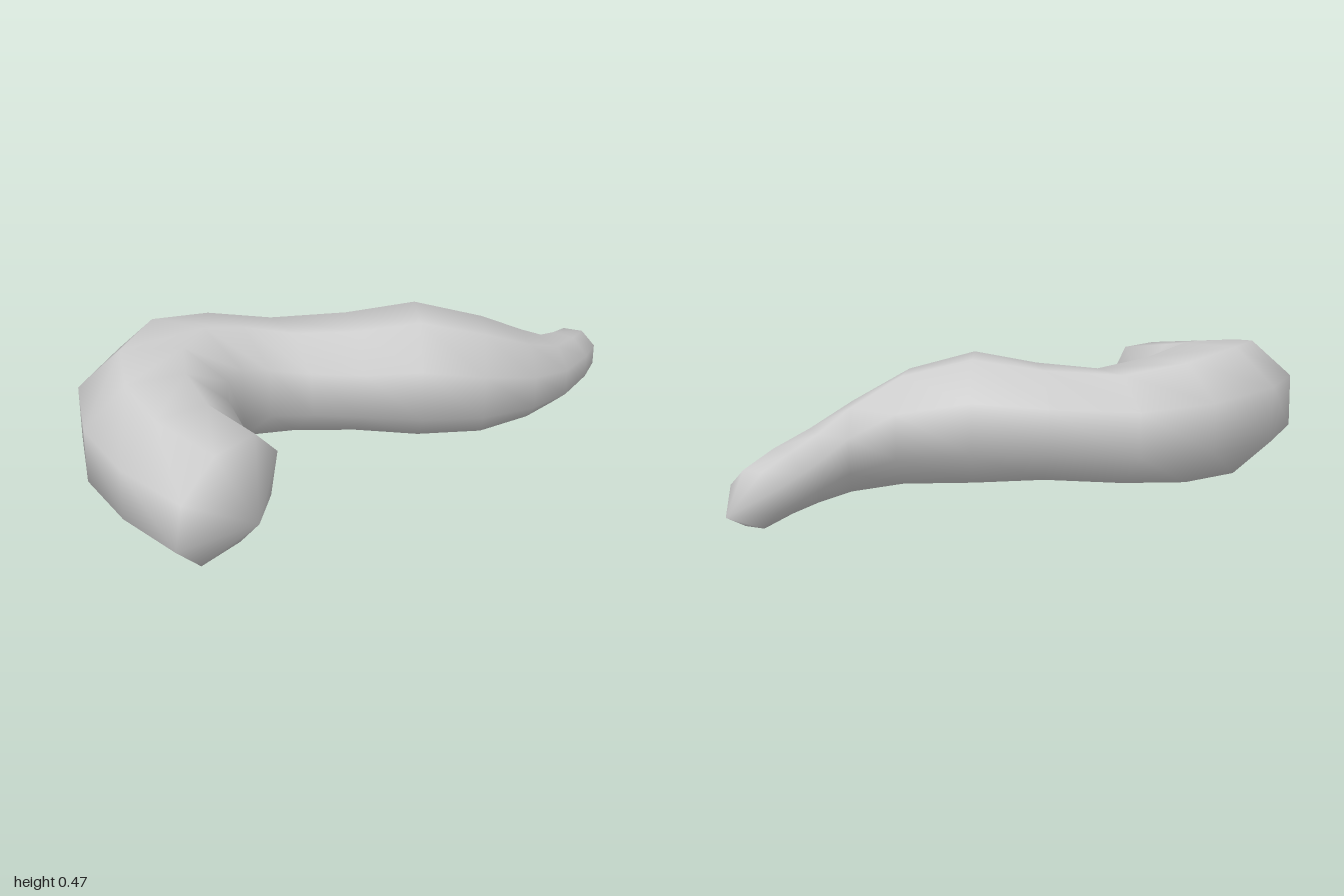
import * as THREE from 'three';

const SIDES = 8;

// Cross-sections from blunt end to tip:
// [outer x, outer z, inner x, inner z, bottom y, top y, lean of the top along x]
const SECTIONS = [
  [-0.08, 1.0, 0.03, 0.6, 0, 0.38, 0.03],
  [-0.31, 0.92, -0.1, 0.54, 0.01, 0.41, 0],
  [-0.51, 0.79, -0.2, 0.44, 0.02, 0.44, 0],
  [-0.66, 0.58, -0.24, 0.36, 0.04, 0.465, 0],
  [-0.69, 0.28, -0.23, 0.28, 0.04, 0.475, 0],
  [-0.57, 0.04, -0.17, 0.2, 0.04, 0.44, 0],
  [-0.37, -0.1, -0.05, 0.13, 0.045, 0.405, 0],
  [-0.11, -0.24, 0.12, 0.1, 0.055, 0.42, 0],
  [0.11, -0.36, 0.31, 0.05, 0.045, 0.455, 0],
  [0.34, -0.44, 0.48, -0.08, 0.04, 0.4, 0],
  [0.44, -0.56, 0.6, -0.28, 0.035, 0.31, 0],
  [0.47, -0.66, 0.66, -0.48, 0.025, 0.245, 0],
  [0.485, -0.74, 0.68, -0.69, 0.015, 0.21, 0],
  [0.5, -0.86, 0.67, -0.86, 0, 0.175, 0],
];
const BLUNT_END = [0.08, 0.14, 0.81];
const TIP = [0.58, 0.065, -1];

function sweptBody() {
  const positions = [], index = [];
  const k = 1 / Math.cos(Math.PI / SIDES); // flat sides touch the given extents
  for (const [ox, oz, ix, iz, bottom, top, lean] of SECTIONS) {
    for (let j = 0; j < SIDES; j++) {
      const a = ((j + 0.5) / SIDES) * Math.PI * 2;
      const c = Math.cos(a) * k, s = Math.sin(a) * k;
      positions.push(
        (ox + ix) / 2 + ((ix - ox) / 2) * c + lean * s,
        (bottom + top) / 2 + ((top - bottom) / 2) * s,
        (oz + iz) / 2 + ((iz - oz) / 2) * c
      );
    }
  }
  const last = SECTIONS.length - 1;
  const head = SECTIONS.length * SIDES, tail = head + 1;
  positions.push(...BLUNT_END, ...TIP);

  for (let j = 0; j < SIDES; j++) {
    const n = (j + 1) % SIDES;
    // Skin between neighbouring sections
    for (let i = 0; i < last; i++) {
      const a = i * SIDES + j, b = i * SIDES + n;
      index.push(a, a + SIDES, b, b, a + SIDES, b + SIDES);
    }
    // Closing fans at both ends
    index.push(head, j, n, tail, last * SIDES + n, last * SIDES + j);
  }
  const geometry = new THREE.BufferGeometry();
  geometry.setAttribute('position', new THREE.Float32BufferAttribute(positions, 3));
  geometry.setIndex(index);
  geometry.computeVertexNormals();
  return geometry;
}

export function createModel() {
  const group = new THREE.Group();
  group.name = 'curledTail';
  const body = new THREE.Mesh(sweptBody(), new THREE.MeshStandardMaterial({ color: 0xcccccc }));
  body.name = 'body';
  group.add(body);
  return group;
}
